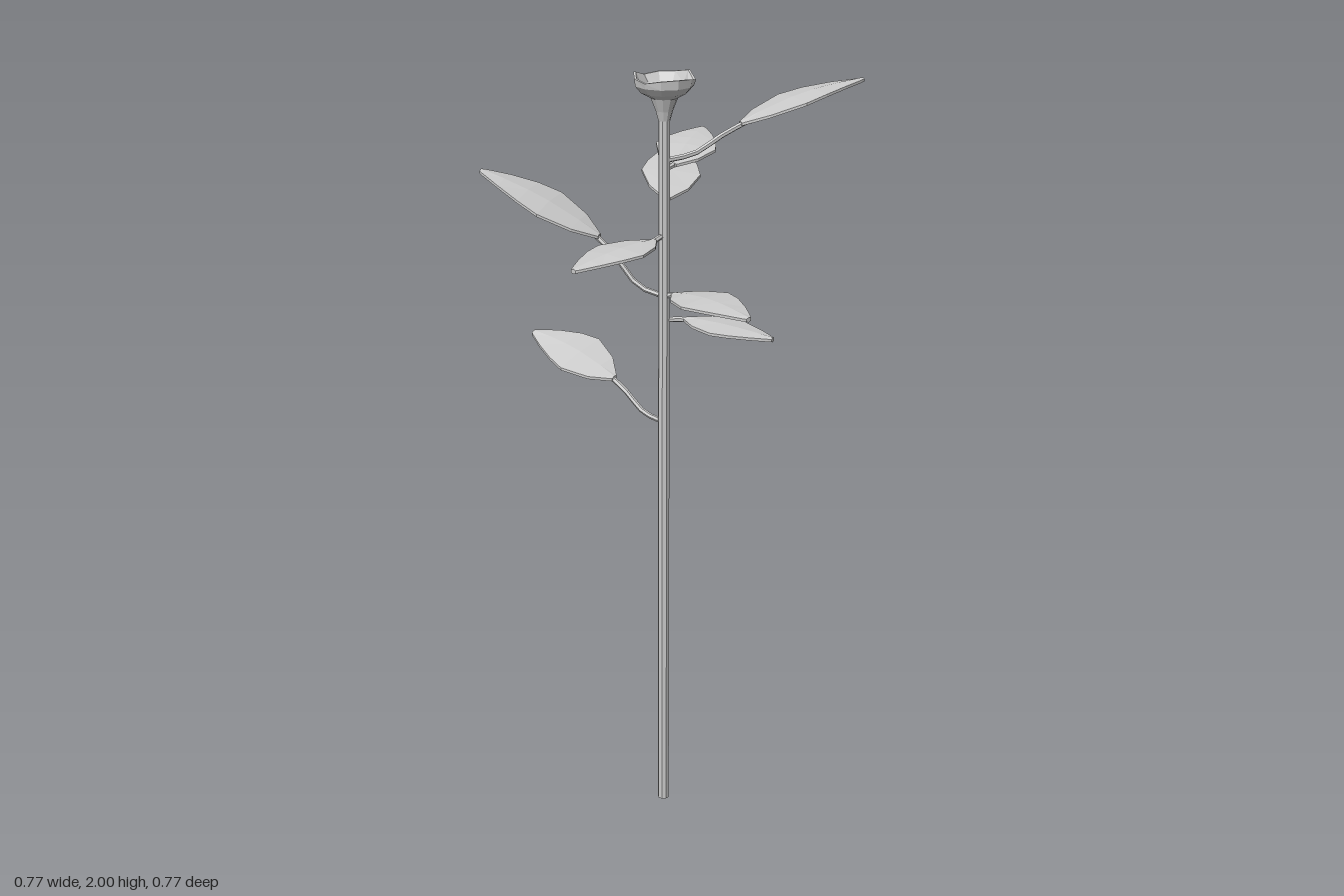
import * as THREE from 'three';

const STEM = new THREE.Vector3(0.085, 0, 0.075);
const material = new THREE.MeshStandardMaterial({ color: 0xcccccc, flatShading: true });
const openMaterial = material.clone();
openMaterial.side = THREE.DoubleSide;

function addMesh(parent, geometry, name, mat = material) {
  const mesh = new THREE.Mesh(geometry, mat);
  mesh.name = name;
  parent.add(mesh);
  return mesh;
}

// Leaf blade: six-point sections with a top rib, under rib and thin edges, as [position, width]
const SECTIONS = [[0, 0.12], [0.17, 0.66], [0.42, 1], [0.6, 0.84], [0.8, 0.52], [0.97, 0.18], [1, 0.1]];
const EDGE = 0.0035;

function bladeGeometry(base, tip, half, roll, arch) {
  const along = tip.clone().sub(base);
  const side = new THREE.Vector3(along.z, 0, -along.x).normalize();
  const pos = [], index = [], n = 6;
  SECTIONS.forEach(([t, w]) => {
    const c = base.clone().addScaledVector(along, t);
    c.y += arch * Math.sin(Math.PI * t);
    const s = half * w, r = roll * w, rib = 0.006 + 0.003 * w;
    [[s, r + EDGE], [0, rib], [-s, -r + EDGE], [-s, -r - EDGE], [0, -rib], [s, r - EDGE]].forEach(
      ([dx, dy]) => pos.push(c.x + side.x * dx, c.y + dy, c.z + side.z * dx));
  });
  for (let i = 0; i < SECTIONS.length - 1; i++) {
    for (let j = 0; j < n; j++) {
      const a = i * n + j, b = i * n + (j + 1) % n;
      index.push(a, b, a + n, b, b + n, a + n);
    }
  }
  // Close both ends
  const e = (SECTIONS.length - 1) * n;
  for (let j = 1; j < n - 1; j++) index.push(0, j + 1, j, e, e + j, e + j + 1);
  const g = new THREE.BufferGeometry();
  g.setAttribute('position', new THREE.Float32BufferAttribute(pos, 3));
  g.setIndex(index);
  g.computeVertexNormals();
  return g;
}

// Stalk: leaves the stem wall level, then bends up into the blade
function stalkGeometry(startY, base, tip) {
  const out = new THREE.Vector3(base.x - STEM.x, 0, base.z - STEM.z).normalize();
  const start = STEM.clone().addScaledVector(out, 0.013).setY(startY);
  const low = start.clone().lerp(base, 0.35);
  low.y = startY + (base.y - startY) * 0.13;
  const high = start.clone().lerp(base, 0.75);
  high.y = startY + (base.y - startY) * 0.68;
  const end = base.clone().lerp(tip, 0.05);
  const curve = new THREE.CatmullRomCurve3([start, low, high, end]);
  return new THREE.TubeGeometry(curve, 6, 0.007, 6, false);
}

// height on stem, blade base, blade tip, half width, roll, arch
const LEAVES = [
  [1.09, [-0.08, 1.172, 0.075], [-0.357, 1.243, 0.075], 0.078, -0.02, 0.012],
  [1.365, [0.125, 1.365, 0.04], [0.37, 1.348, -0.004], 0.066, 0.002, 0.003],
  [1.432, [0.115, 1.436, 0.073], [0.382, 1.432, 0.115], 0.081, 0.002, 0.011],
  [1.43, [-0.085, 1.565, 0.125], [-0.385, 1.71, 0.236], 0.092, -0.006, 0.012],
  [1.585, [0.085, 1.58, 0.115], [0.047, 1.555, 0.382], 0.082, 0.004, 0.006],
  [1.575, [-0.012, 1.638, -0.06], [-0.176, 1.71, -0.306], 0.077, 0.006, 0.006],
  [1.755, [0.078, 1.757, 0.03], [-0.012, 1.795, -0.208], 0.079, 0.004, 0.006],
  [1.78, [0.19, 1.855, -0.1], [0.364, 1.943, -0.382], 0.094, -0.008, 0.014],
];

export function createModel() {
  const model = new THREE.Group();
  model.name = 'flowerStem';

  // Hollow main stem, open at both ends
  const stemGeometry = new THREE.CylinderGeometry(0.015, 0.015, 1.89, 8, 1, true).rotateY(Math.PI / 8);
  const stem = addMesh(model, stemGeometry, 'stem', openMaterial);
  stem.position.set(STEM.x, 0.945, STEM.z);

  // Flower cup: flared neck, bowl and open inside, with an uneven rim
  const profile = [
    [0.015, 1.88], [0.022, 1.905], [0.035, 1.938], [0.06, 1.952], [0.075, 1.97], [0.078, 1.99],
    [0.072, 1.99], [0.058, 1.966], [0.038, 1.952], [0.016, 1.925],
  ].map(([r, y]) => new THREE.Vector2(r, y));
  const cupGeometry = new THREE.LatheGeometry(profile, 11);
  const p = cupGeometry.attributes.position;
  for (let i = 0; i < p.count; i++) {
    if (p.getY(i) < 1.985) continue;
    const a = Math.atan2(p.getZ(i), p.getX(i));
    p.setY(i, p.getY(i) + 0.006 * Math.sin(3 * a) + 0.004 * Math.cos(5 * a));
  }
  cupGeometry.computeVertexNormals();
  addMesh(model, cupGeometry, 'flowerCup', openMaterial).position.set(STEM.x, 0, STEM.z);

  // Leaves up the stem
  LEAVES.forEach(([y, b, t, half, roll, arch], i) => {
    const base = new THREE.Vector3(...b), tip = new THREE.Vector3(...t);
    const leaf = new THREE.Group();
    leaf.name = `leaf${i + 1}`;
    addMesh(leaf, stalkGeometry(y, base, tip), 'leafStalk', openMaterial);
    addMesh(leaf, bladeGeometry(base, tip, half, roll, arch), 'leafBlade');
    model.add(leaf);
  });
  return model;
}
